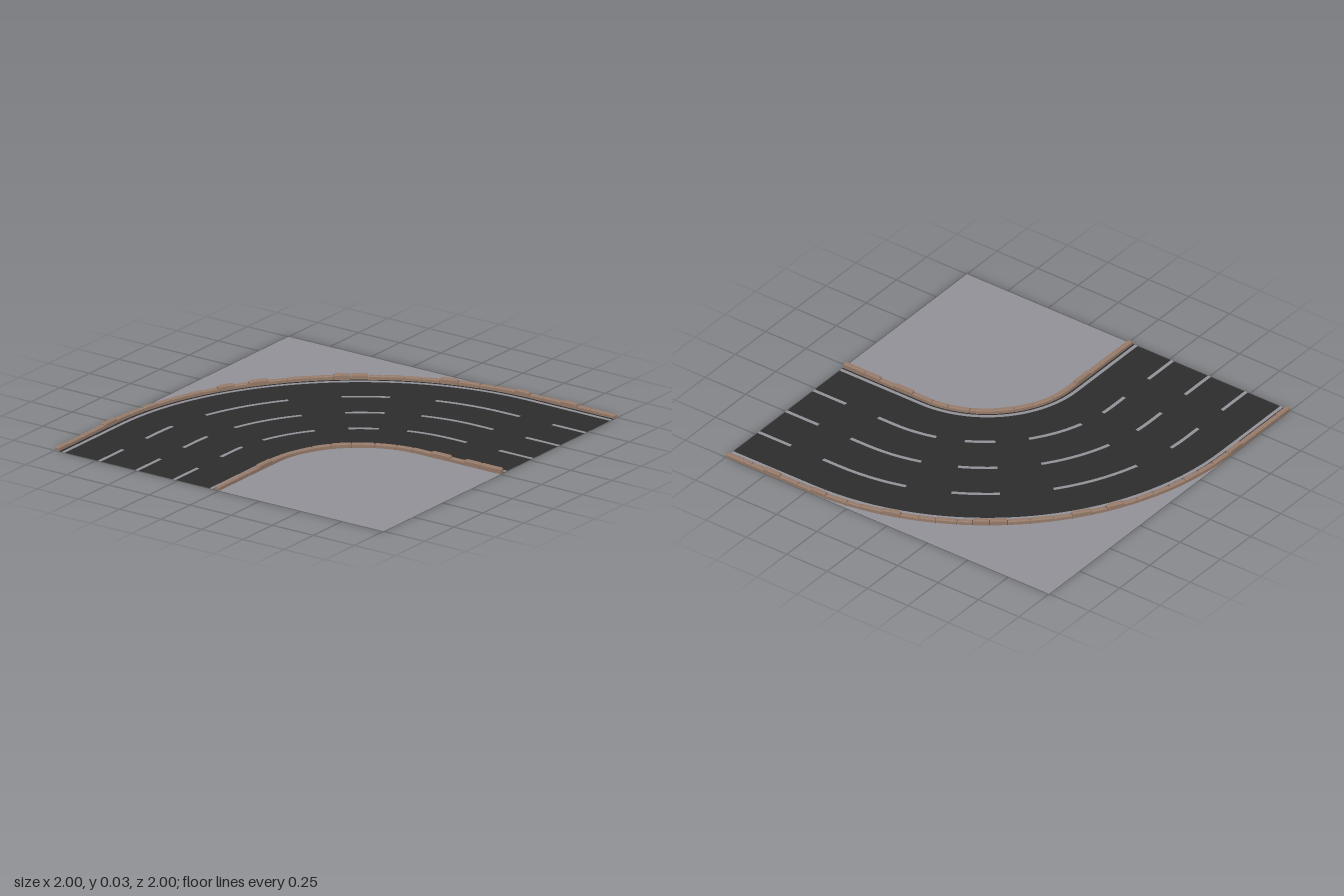
import * as THREE from 'three';

const material = (name, color) => {
  const m = new THREE.MeshStandardMaterial({ color, side: THREE.DoubleSide });
  m.name = name;
  return m;
};

// Road path: t -0.5..0 is the left straight, 0..1 the quarter bend, 1..1.5 the front straight
function pathPoint(r, y, t) {
  if (t < 0) return [-0.5 + t, y, 0.5 - r];
  if (t > 1) return [-0.5 + r, y, 0.5 + t - 1];
  const a = t * Math.PI / 2;
  return [-0.5 + r * Math.sin(a), y, 0.5 - r * Math.cos(a)];
}

function samples(t0, t1, steps = 32) {
  const list = [t0];
  for (let i = 0; i <= steps; i++) {
    const t = i / steps;
    if (t > t0 + 1e-4 && t < t1 - 1e-4) list.push(t);
  }
  list.push(t1);
  return list;
}

// Sweep a [radius, height] profile along the path; bevel lowers the two ends
function sweep(profile, t0, t1, { closed = true, bevel = 0 } = {}) {
  const ts = bevel ? [t0, ...samples(t0 + bevel, t1 - bevel), t1] : samples(t0, t1);
  const rings = ts.map((t, i) => {
    const k = bevel && (i === 0 || i === ts.length - 1) ? 0.8 : 1;
    return profile.map(([r, y]) => pathPoint(r, y * k, t));
  });
  const n = profile.length, pos = [];
  const tri = (a, b, c) => pos.push(...a, ...b, ...c);
  for (let s = 0; s < rings.length - 1; s++) {
    const A = rings[s], B = rings[s + 1];
    for (let i = 0; i < (closed ? n : n - 1); i++) {
      const j = (i + 1) % n;
      tri(A[i], A[j], B[j]);
      tri(A[i], B[j], B[i]);
    }
  }
  if (closed) {
    const A = rings[0], B = rings[rings.length - 1];
    for (let i = 1; i < n - 1; i++) {
      tri(A[0], A[i + 1], A[i]);
      tri(B[0], B[i], B[i + 1]);
    }
  }
  const g = new THREE.BufferGeometry();
  g.setAttribute('position', new THREE.Float32BufferAttribute(pos, 3));
  g.computeVertexNormals();
  return g;
}

export function createModel() {
  const model = new THREE.Group();
  model.name = 'roadBend';
  const asphalt = material('asphalt', 0x2d2d2d);
  const concrete = material('concrete', 0x939198);
  const stone = material('kerbStone', 0x957a69);

  const add = (parent, name, geometry, mat) => {
    const mesh = new THREE.Mesh(geometry, mat);
    mesh.name = name;
    parent.add(mesh);
  };
  const addGroup = (name) => {
    const g = new THREE.Group();
    g.name = name;
    model.add(g);
    return g;
  };

  // Road surface
  add(model, 'roadSurface', sweep([[1.5, 0.001], [0.5, 0.001]], -0.5, 1.5, { closed: false }), asphalt);

  // Pavement inside and outside the bend
  for (const [name, r, corner] of [['innerPavement', 0.5, [-1, 1]], ['outerPavement', 1.5, [1, -1]]]) {
    const pts = samples(-0.5, 1.5).map((t) => {
      const [x, , z] = pathPoint(r, 0, t);
      return new THREE.Vector2(x, -z);
    });
    pts.push(new THREE.Vector2(corner[0], -corner[1]));
    const g = new THREE.ShapeGeometry(new THREE.Shape(pts));
    g.rotateX(-Math.PI / 2);
    add(model, name, g, concrete);
  }

  // Painted lines: solid at the edges, dashed between lanes
  const lines = addGroup('laneMarkings');
  const stripe = (name, r, w, t0, t1) => add(lines, name,
    sweep([[r - w, 0], [r + w, 0], [r + w, 0.003], [r - w, 0.003]], t0, t1), concrete);
  for (const r of [0.547, 1.447]) stripe('edgeLine', r, 0.009, -0.5, 1.5);
  const dashes = [[-0.5, -0.3], [-0.1, 0.06], [0.18, 0.42], [0.56, 0.685], [0.805, 1.1], [1.3, 1.5]];
  for (const r of [0.772, 1, 1.228])
    for (const [t0, t1] of dashes) stripe('laneDash', r, 0.009, t0, t1);

  // Kerbs: a row of uneven stones along each side
  let seed = 7;
  const random = () => (seed = (seed * 16807) % 2147483647) / 2147483647;
  for (const [name, r0] of [['innerKerb', 0.5], ['outerKerb', 1.473]]) {
    const kerb = addGroup(name);
    const r1 = r0 + 0.027, arc = (r0 + r1) / 2 * Math.PI / 2;
    const toT = (d) => d < 0.5 ? d - 0.5 : d < 0.5 + arc ? (d - 0.5) / arc : d - arc + 0.5;
    const total = 1 + arc;
    for (let d = 0; d < total - 1e-4;) {
      let end = d + 0.075 + random() * 0.045;
      if (end > total - 0.06) end = total;
      const h = random() < 0.25 ? 0.029 : 0.019 + random() * 0.003;
      const profile = [[r0, 0], [r1, 0], [r1, h * 0.8], [r1 - 0.005, h], [r0 + 0.005, h], [r0, h * 0.8]];
      const gap = 0.001;
      add(kerb, 'kerbStone', sweep(profile, toT(d + (d ? gap : 0)), toT(end - (end < total ? gap : 0)), { bevel: 0.005 }), stone);
      d = end;
    }
  }
  return model;
}
